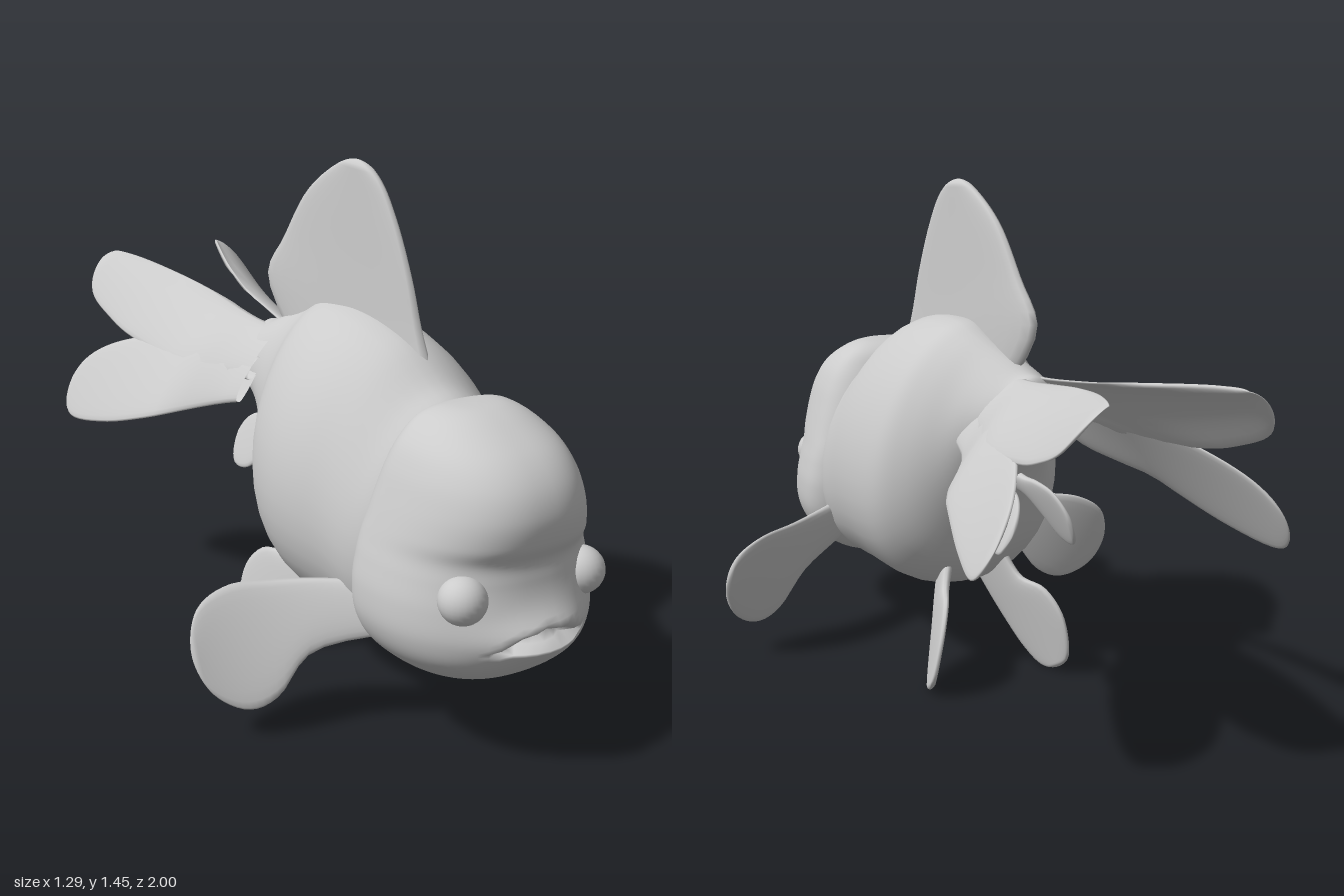
import * as THREE from 'three';

const material = new THREE.MeshStandardMaterial({ color: 0xcccccc, side: THREE.DoubleSide });

// Catmull-Rom sampling of a table of rows, t in 0..1
function sample(rows, t) {
  const f = t * (rows.length - 1), i = Math.min(Math.floor(f), rows.length - 2), u = f - i;
  const at = (k) => rows[Math.max(0, Math.min(rows.length - 1, k))];
  return rows[i].map((_, c) => {
    const [a, b, d, e] = [at(i - 1)[c], at(i)[c], at(i + 1)[c], at(i + 2)[c]];
    return b + 0.5 * u * (d - a + u * (2 * a - 5 * b + 4 * d - e + u * (3 * (b - d) + e - a)));
  });
}

// Skin closed rings of Vector3, turning the faces outward
function loft(name, rings) {
  const n = rings[0].length, pts = rings.flat(), index = [];
  for (let r = 0; r < rings.length - 1; r++) {
    for (let k = 0; k < n; k++) {
      const a = r * n + k, b = r * n + (k + 1) % n;
      index.push(a, b, a + n, b, b + n, a + n);
    }
  }
  let volume = 0;
  const o = pts[0], v = (i) => pts[i].clone().sub(o);
  for (let i = 0; i < index.length; i += 3) {
    volume += v(index[i]).dot(v(index[i + 1]).cross(v(index[i + 2])));
  }
  if (volume < 0) index.reverse();
  const geometry = new THREE.BufferGeometry().setFromPoints(pts);
  geometry.setIndex(index);
  geometry.computeVertexNormals();
  const mesh = new THREE.Mesh(geometry, material);
  mesh.name = name;
  return mesh;
}

// Thin fin: the outline runs from the root round the tip (its middle point) and back
function fin(name, outline, place, axis, thickness) {
  const rings = [], steps = 30, n = 24;
  for (let s = 0; s <= steps; s++) {
    const t = 1 - (1 - s / steps) ** 1.7, ring = [];
    const a = sample(outline, t / 2), b = sample(outline, 1 - t / 2);
    const half = thickness * (0.45 + 0.55 * (1 - t) ** 2) * Math.min(1, (1 - t) * 8);
    for (let k = 0; k < n; k++) {
      const ang = k / n * Math.PI * 2, w = 0.5 - 0.5 * Math.cos(ang), sn = Math.sin(ang);
      const p = place(a[0] + (b[0] - a[0]) * w, a[1] + (b[1] - a[1]) * w);
      ring.push(p.addScaledVector(axis, half * power(sn, 0.6)));
    }
    rings.push(ring);
  }
  return loft(name, rings);
}

const power = (v, e) => Math.sign(v) * Math.abs(v) ** e;

// Trunk slices: z, bottom, top, half width, centre x
const trunk = [
  [0.64, 0.28, 0.84, 0.2, 0], [0.57, 0.23, 0.885, 0.255, 0], [0.5, 0.215, 0.92, 0.28, -0.003],
  [0.4, 0.22, 0.995, 0.293, -0.01], [0.3, 0.225, 1.035, 0.308, -0.02], [0.2, 0.23, 1.055, 0.312, -0.025],
  [0.1, 0.25, 1.06, 0.3, -0.022], [0.03, 0.3, 1.055, 0.275, -0.02], [-0.03, 0.38, 1.03, 0.225, -0.025],
  [-0.09, 0.53, 1.0, 0.17, -0.045], [-0.14, 0.65, 0.975, 0.14, -0.065], [-0.2, 0.72, 0.945, 0.115, -0.085],
  [-0.25, 0.75, 0.93, 0.07, -0.09], [-0.27, 0.84, 0.84, 0, -0.09],
];

// Head slices: y, front z, back z, half width
const skull = [
  [0.208, 0.67, 0.67, 0], [0.215, 0.77, 0.59, 0.11], [0.25, 0.86, 0.53, 0.2], [0.31, 0.93, 0.5, 0.268],
  [0.38, 0.95, 0.48, 0.302], [0.46, 0.948, 0.47, 0.306], [0.53, 0.938, 0.47, 0.294], [0.58, 0.935, 0.472, 0.281],
  [0.63, 0.96, 0.478, 0.267], [0.7, 0.968, 0.49, 0.246], [0.77, 0.945, 0.51, 0.222], [0.83, 0.89, 0.535, 0.19],
  [0.88, 0.8, 0.565, 0.14], [0.905, 0.73, 0.61, 0.08], [0.91, 0.67, 0.67, 0],
];

function makeBody() {
  const rings = [];
  for (let s = 0; s <= 52; s++) {
    const [z, y0, y1, w, cx] = sample(trunk, s / 52), ring = [];
    for (let k = 0; k < 40; k++) {
      const a = k / 40 * Math.PI * 2, sn = Math.sin(a);
      const x = cx + w * power(Math.cos(a), sn > 0 ? 1.05 : 0.92) * (1 - 0.17 * sn);
      ring.push(new THREE.Vector3(x, (y0 + y1) / 2 + (y1 - y0) / 2 * sn, z));
    }
    rings.push(ring);
  }
  return loft('body', rings);
}

function makeHead() {
  const rings = [];
  for (let s = 0; s <= 90; s++) {
    const [y, zf, zb, w] = sample(skull, s / 90), cz = zb + 0.31 * (zf - zb), ring = [];
    for (let k = 0; k < 72; k++) {
      const a = k / 72 * Math.PI * 2, c = Math.cos(a), sn = Math.sin(a);
      const x = w * power(c, 0.87);
      let z = cz + (sn > 0 ? (zf - cz) * power(sn, 0.88) : (cz - zb) * power(sn, 0.75));
      if (sn > 0) {
        // Pouting snout with an arched mouth pressed into it
        z += 0.055 * Math.exp(-((x / 0.14) ** 2) - ((y - 0.39) / 0.06) ** 2);
        const q = (x / 0.12) ** 2;
        if (q < 1) {
          const d = (y - 0.4 + 0.025 * q) / (0.02 * (1 - q) + 0.004);
          z -= 0.07 * Math.max(0, 1 - d * d);
        }
      }
      ring.push(new THREE.Vector3(x, y, z));
    }
    rings.push(ring);
  }
  return loft('head', rings);
}

// Fin outlines; dorsal, tail, pelvic and anal in (z, y), pectoral in (x, y)
const dorsal = [
  [0.47, 0.9], [0.42, 1.03], [0.38, 1.16], [0.32, 1.3], [0.25, 1.405], [0.16, 1.45],
  [0.06, 1.42], [-0.06, 1.335], [-0.16, 1.2], [-0.24, 1.07], [-0.12, 0.9],
];
const tailUpper = [
  [-0.12, 0.93], [-0.25, 0.935], [-0.45, 0.962], [-0.65, 0.995], [-0.9, 1.03], [-0.995, 1.02],
  [-0.95, 0.925], [-0.82, 0.865], [-0.67, 0.825], [-0.4, 0.79], [-0.12, 0.8],
];
const tailLower = [
  [-0.12, 0.86], [-0.25, 0.86], [-0.45, 0.86], [-0.66, 0.83], [-0.81, 0.77], [-0.86, 0.68],
  [-0.8, 0.595], [-0.62, 0.6], [-0.42, 0.645], [-0.25, 0.7], [-0.12, 0.74],
];
const pectoral = [
  [0.2, 0.42], [0.3, 0.42], [0.42, 0.412], [0.53, 0.4], [0.615, 0.345], [0.645, 0.24],
  [0.61, 0.14], [0.53, 0.09], [0.45, 0.12], [0.36, 0.23], [0.2, 0.29],
];
const pelvic = [
  [0.16, 0.28], [0.11, 0.19], [0.06, 0.11], [0.01, 0.045], [-0.05, 0.005], [-0.12, 0.02],
  [-0.17, 0.08], [-0.175, 0.2], [-0.12, 0.275], [-0.03, 0.29], [0.02, 0.36],
];
const anal = [
  [-0.06, 0.65], [-0.15, 0.635], [-0.23, 0.64], [-0.31, 0.63], [-0.355, 0.59], [-0.365, 0.53],
  [-0.33, 0.475], [-0.26, 0.48], [-0.2, 0.53], [-0.14, 0.575], [-0.06, 0.58],
];

export function createModel() {
  const group = new THREE.Group();
  group.name = 'goldfish';
  group.add(makeBody(), makeHead());

  // Back fin, drifting slightly toward the right at the rear
  const bend = (z, y) => new THREE.Vector3(-0.06 + 0.14 * z, y, z);
  group.add(fin('dorsalFin', dorsal, bend, new THREE.Vector3(1, 0, 0), 0.034));

  for (const side of [1, -1]) {
    const label = side > 0 ? 'left' : 'right';

    // Eye
    const eye = new THREE.Mesh(new THREE.SphereGeometry(0.062, 24, 16), material);
    eye.name = label + 'Eye';
    eye.position.set(side * 0.18, 0.5, 0.88);
    group.add(eye);

    // Half of the double tail, curving outward as it drops
    const tailPlace = (z, y) => {
      const t = Math.max(0, (-0.2 - z) / 0.8), drop = Math.max(0, 0.93 + 0.1 * t - y);
      const flare = 0.5 + 0.22 * Math.min(1, t * 5) - 0.18 * t;
      const out = 0.02 + 0.17 * t ** 1.8 + flare * drop ** 0.7;
      return new THREE.Vector3(-0.09 + side * out, y - (side < 0 ? 0.12 * t * drop : 0), z);
    };
    const tailAxis = new THREE.Vector3(side * 0.85, 0.5, 0.15).normalize();
    group.add(fin(label + 'UpperTail', tailUpper, tailPlace, tailAxis, 0.016));
    group.add(fin(label + 'LowerTail', tailLower, tailPlace, tailAxis, 0.016));

    // Pectoral fin, swept backward and cupped
    const sweep = (x, y) => new THREE.Vector3(
      side * x, y, 0.5 - 0.9 * (x - 0.25) + 0.9 * (x - 0.25) ** 2 + 0.35 * (0.4 - y));
    const pectoralAxis = new THREE.Vector3(side * 0.45, 0.3, 0.84);
    group.add(fin(label + 'PectoralFin', pectoral, sweep, pectoralAxis, 0.026));

    // Pelvic fin, its trailing edge turned outward
    const splay = (z, y) => new THREE.Vector3(
      -0.035 + side * (0.1 + 0.2 * (0.25 - y) - 0.36 * (z - 0.05)), y, z);
    group.add(fin(label + 'PelvicFin', pelvic, splay, new THREE.Vector3(0.93, 0, side * 0.35), 0.022));

    // Anal fin, tucked under the tail
    const tuck = (z, y) => new THREE.Vector3(
      -0.06 + side * (0.05 + 0.05 * (-0.06 - z) + 0.4 * (0.6 - y)), y, z);
    group.add(fin(label + 'AnalFin', anal, tuck, new THREE.Vector3(0.92, side * 0.37, 0), 0.018));
  }
  return group;
}
